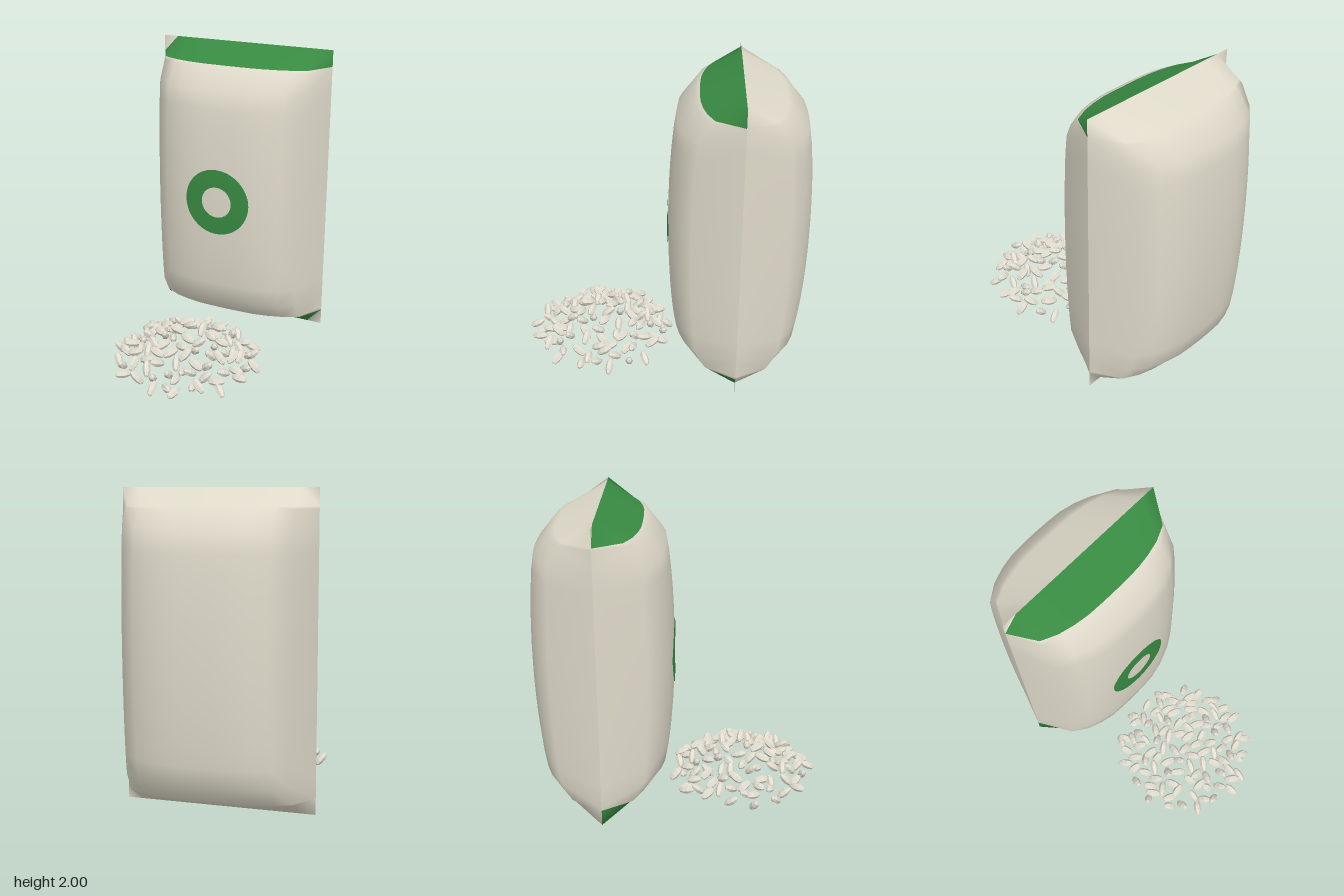
import * as THREE from 'three';
import { mergeGeometries } from 'three/addons/utils/BufferGeometryUtils.js';

const HALF_W = 0.62, HALF_H = 1, HALF_D = 0.465, BAG_Z = -0.475, BAND = 0.11;
const COLS = 12, ROWS = 16;

const cream = new THREE.MeshStandardMaterial({ name: 'sackCream', color: 0xded9c9 });
const green = new THREE.MeshStandardMaterial({ name: 'printGreen', color: 0x388a42 });
const grainColour = new THREE.MeshStandardMaterial({ name: 'grainCream', color: 0xe2ddd0 });

// Bulge from the middle (first value) out to the seam (last value)
const bulgeX = [1, 0.995, 0.98, 0.925, 0.83, 0.655, 0];
const bulgeY = [1, 0.998, 0.99, 0.977, 0.957, 0.93, 0.885, 0.66, 0];

function sample(table, t) {
  const f = Math.min(Math.abs(t), 1) * (table.length - 1);
  const i = Math.min(Math.floor(f), table.length - 2);
  return THREE.MathUtils.lerp(table[i], table[i + 1], f - i);
}
const depth = (x, y) => HALF_D * sample(bulgeX, x / HALF_W) * sample(bulgeY, (y - HALF_H) / HALF_H);

// One pillow half; side is 1 for the front and -1 for the back
function halfSack(side) {
  const ys = [];
  for (let j = 0; j <= ROWS; j++) ys.push(2 - (2 * j) / ROWS);
  ys.splice(1, 0, 2 - BAND);
  ys.splice(ys.length - 1, 0, BAND);
  const last = ys.length - 2;
  const pos = [], plain = [], printed = [];
  for (const y of ys) {
    for (let i = 0; i <= COLS; i++) {
      const x = HALF_W * ((2 * i) / COLS - 1);
      pos.push(x, y, side * depth(x, y));
    }
  }
  const add = (list, a, b, c) => (side > 0 ? list.push(a, b, c) : list.push(a, c, b));
  for (let j = 0; j <= last; j++) {
    for (let i = 0; i < COLS; i++) {
      const a = j * (COLS + 1) + i, b = a + COLS + 1, c = b + 1, d = a + 1;
      const band = side > 0 && (j === 0 || j === last);
      // Two flat pinched corners stay unprinted
      add(band && !(j === 0 && i === 0) ? printed : plain, a, b, d);
      add(band && !(j === last && i === COLS - 1) ? printed : plain, b, c, d);
    }
  }
  const g = new THREE.BufferGeometry();
  g.setAttribute('position', new THREE.Float32BufferAttribute(pos, 3));
  g.setIndex([...plain, ...printed]);
  g.addGroup(0, plain.length, 0);
  if (printed.length) g.addGroup(plain.length, printed.length, 1);
  g.computeVertexNormals();
  return g;
}

// Printed ring that follows the bulge of the front
function ringPrint() {
  const g = new THREE.RingGeometry(0.107, 0.23, 64, 6);
  const p = g.attributes.position;
  for (let i = 0; i < p.count; i++) {
    const y = p.getY(i) + HALF_H;
    p.setXYZ(i, p.getX(i), y, depth(p.getX(i), y) + 0.006);
  }
  g.computeVertexNormals();
  return g;
}

// Heap of faceted grains scattered over a low cone
function grainHeap() {
  let seed = 7;
  const rand = () => (seed = (seed * 16807) % 2147483647) / 2147483647;
  const count = 110, parts = [];
  const base = new THREE.SphereGeometry(0.027, 6, 5).scale(1, 2.1, 1);
  const m = new THREE.Matrix4(), q = new THREE.Quaternion(), e = new THREE.Euler();
  const one = new THREE.Vector3(1, 1, 1);
  for (let i = 0; i < count; i++) {
    const r = 0.475 * Math.sqrt((i + 0.5) / count);
    const angle = i * 2.39996 + (rand() - 0.5) * 0.2;
    const y = 0.065 + 0.235 * (1 - r / 0.475) + (rand() - 0.5) * 0.05;
    const tilt = Math.PI / 2 + (rand() - 0.5) * 1.7;
    e.set(tilt, rand() * Math.PI * 2, 0, 'YXZ');
    m.compose(
      new THREE.Vector3(r * Math.cos(angle), Math.max(y, 0.055), 0.455 + r * Math.sin(angle)),
      q.setFromEuler(e), one);
    parts.push(base.clone().applyMatrix4(m));
  }
  const g = mergeGeometries(parts).toNonIndexed();
  g.computeVertexNormals();
  return g;
}

export function createModel() {
  const model = new THREE.Group();
  model.name = 'grainSackAndHeap';

  const sack = new THREE.Group();
  sack.name = 'sack';
  sack.position.z = BAG_Z;
  const part = (name, geometry, material, parent) => {
    const mesh = new THREE.Mesh(geometry, material);
    mesh.name = name;
    parent.add(mesh);
  };
  part('sackFront', halfSack(1), [cream, green], sack);
  part('sackBack', halfSack(-1), [cream], sack);
  part('ringPrint', ringPrint(), green, sack);
  model.add(sack);

  part('grainHeap', grainHeap(), grainColour, model);
  return model;
}
